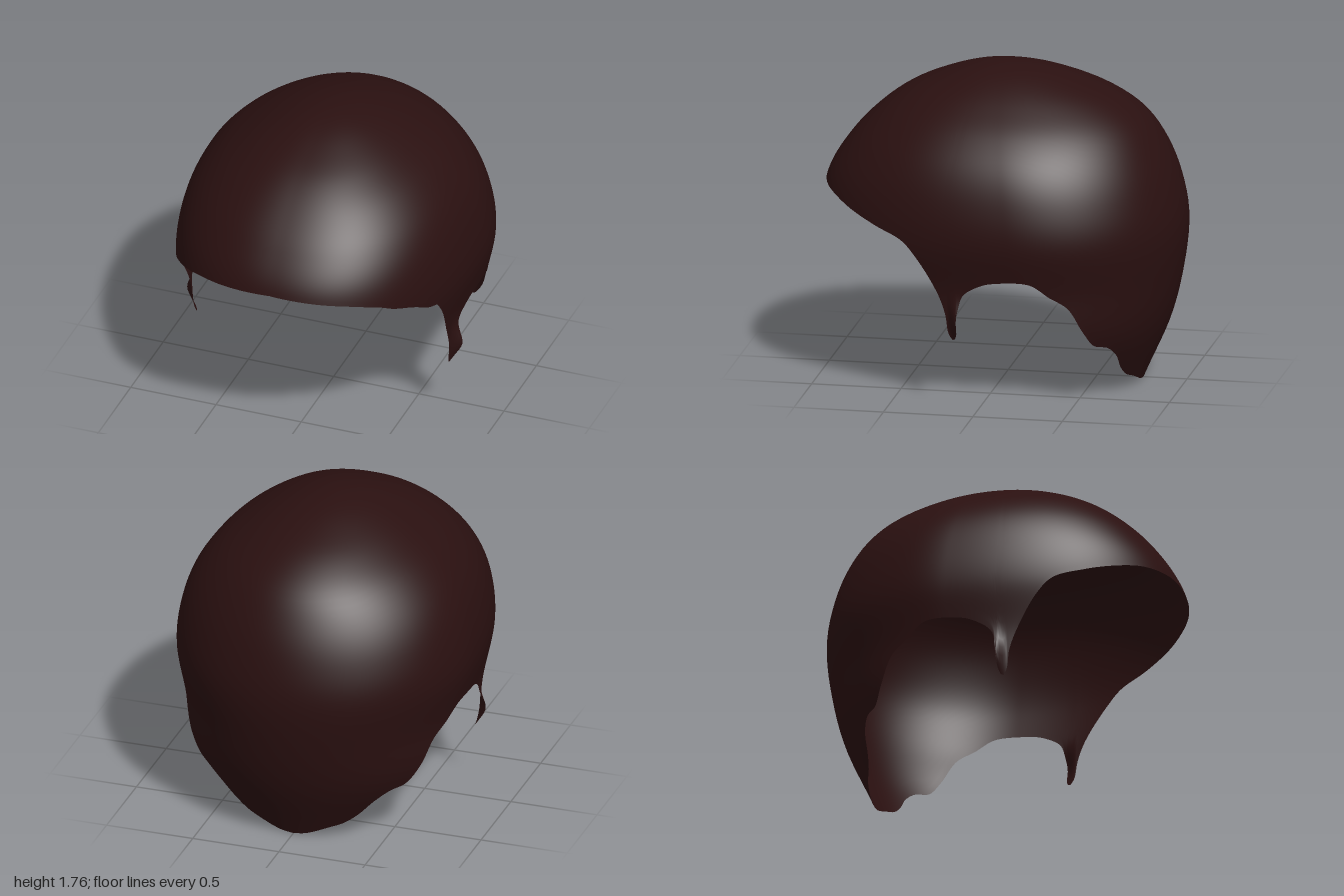
import * as THREE from 'three';

const TOP = 1.76;
// Cap profiles, sampled at equal steps of s = sqrt(depth below crown / TOP)
const WIDTH = [0, 0.145, 0.295, 0.455, 0.62, 0.745, 0.815, 0.837, 0.787, 0.745, 0.52];
const FRONT = [0, 0.17, 0.35, 0.55, 0.72, 0.87, 0.985, 1.02, 1.0, 0.98, 0.95];
const BACK = [0, 0.19, 0.385, 0.6, 0.77, 0.88, 0.957, 0.997, 0.973, 0.9, 0.755];
const CENTRE = [0, 0, -0.02, -0.04, -0.07, -0.1, -0.13, -0.15, -0.15, -0.15, -0.15];

// Hairline on the left side, from forehead past the sideburn and ear to the nape
const HEM = [
  [0, 1.105, 1], [0.25, 1.09, 0.97], [0.45, 1.065, 0.88], [0.58, 1.02, 0.74],
  [0.68, 0.97, 0.6], [0.745, 0.91, 0.44], [0.75, 0.82, 0.35], [0.755, 0.63, 0.25],
  [0.76, 0.5, 0.205], [0.755, 0.39, 0.19], [0.75, 0.355, 0.165], [0.755, 0.39, 0.143],
  [0.77, 0.53, 0.13], [0.77, 0.62, 0.1], [0.79, 0.685, 0], [0.79, 0.705, -0.08],
  [0.79, 0.705, -0.27], [0.77, 0.63, -0.38], [0.73, 0.56, -0.48], [0.67, 0.42, -0.55],
  [0.6, 0.325, -0.6], [0.52, 0.3, -0.65], [0.44, 0.24, -0.68], [0.35, 0.145, -0.69],
  [0.28, 0.09, -0.71], [0.2, 0.06, -0.73], [0.07, 0.01, -0.755], [0, 0, -0.755],
];

// Smooth lookup in a profile table
function sample(table, s) {
  const n = table.length - 1;
  const f = THREE.MathUtils.clamp(s, 0, 1) * n;
  const i = Math.min(Math.floor(f), n - 1);
  const t = f - i;
  const p1 = table[i], p2 = table[i + 1];
  const p0 = i > 0 ? table[i - 1] : 2 * p1 - p2;
  const p3 = i < n - 1 ? table[i + 2] : 2 * p2 - p1;
  return p1 + 0.5 * t * (p2 - p0 + t * (2 * p0 - 5 * p1 + 4 * p2 - p3 + t * (3 * (p1 - p2) + p3 - p0)));
}

// Oval section of the cap at height y
function section(y) {
  const s = Math.sqrt(Math.max(0, TOP - y) / TOP);
  const c = sample(CENTRE, s);
  return { a: sample(WIDTH, s), c, front: sample(FRONT, s) - c, back: sample(BACK, s) + c };
}

// Angle round the oval: +90 degrees is the front, -90 degrees the back
function angleOf(p) {
  const o = section(p.y);
  const ahead = p.z > o.c;
  const n = ahead ? 2.3 : 2;
  const u = Math.pow(Math.abs(p.z - o.c) / (ahead ? o.front : o.back), n / 2);
  const v = Math.pow(Math.max(0, p.x) / o.a, n / 2);
  return Math.atan2(ahead ? u : -u, v);
}

function capPoint(angle, y, side) {
  const o = section(y);
  const ahead = angle > 0;
  const e = 2 / (ahead ? 2.3 : 2);
  let x = o.a * Math.pow(Math.max(0, Math.cos(angle)), e);
  const d = Math.pow(Math.abs(Math.sin(angle)), e);
  const z = o.c + (ahead ? o.front * d : -o.back * d);
  // Outward flick on the rear edge of the sideburn
  if (z > 0 && y < 0.7) {
    x += 0.045 * Math.exp(-(((y - 0.48) / 0.08) ** 2)) * (1 - THREE.MathUtils.smoothstep(z, 0.135, 0.19));
  }
  return [side * x, y, z];
}

function hairGeometry(rows = 44, half = 190) {
  const curve = new THREE.CatmullRomCurve3(HEM.map((p) => new THREE.Vector3(...p)), false, 'centripetal');
  const left = curve.getSpacedPoints(half).map((p) => ({ angle: angleOf(p), y: p.y, side: 1 }));
  const right = left.slice(1, -1).reverse().map((h) => ({ ...h, side: -1 }));
  const hem = [...left, ...right];
  const cols = hem.length;

  const positions = [0, TOP, 0];
  for (let i = 1; i <= rows; i++) {
    const drop = 1 - Math.cos((i / rows) * Math.PI / 2);
    for (const h of hem) positions.push(...capPoint(h.angle, TOP - (TOP - h.y) * drop, h.side));
  }

  const index = [];
  const at = (i, j) => (i === 0 ? 0 : 1 + (i - 1) * cols + (j % cols));
  for (let i = 0; i < rows; i++) {
    for (let j = 0; j < cols; j++) {
      index.push(at(i + 1, j), at(i + 1, j + 1), at(i, j));
      if (i > 0) index.push(at(i, j), at(i + 1, j + 1), at(i, j + 1));
    }
  }
  const geometry = new THREE.BufferGeometry();
  geometry.setAttribute('position', new THREE.Float32BufferAttribute(positions, 3));
  geometry.setIndex(index);
  geometry.computeVertexNormals();
  return geometry;
}

export function createModel() {
  const group = new THREE.Group();
  group.name = 'hairpiece';
  const darkBrown = new THREE.MeshStandardMaterial({ color: 0x2a1010, side: THREE.DoubleSide });
  darkBrown.name = 'dark brown hair';
  const hair = new THREE.Mesh(hairGeometry(), darkBrown);
  hair.name = 'hairCap';
  group.add(hair);
  return group;
}
